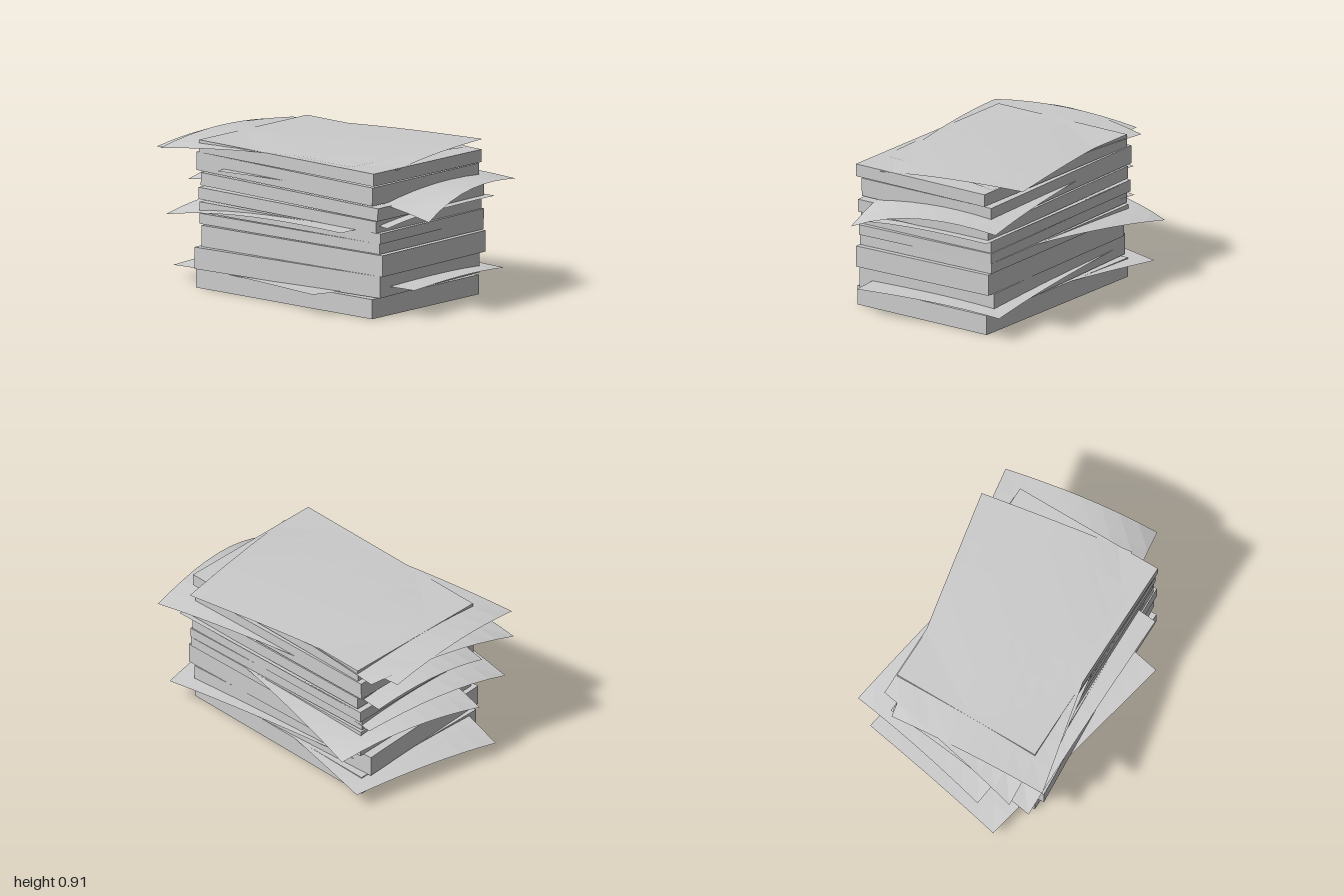
import * as THREE from 'three';

const paper = new THREE.MeshStandardMaterial({ color: 0xcccccc, flatShading: true, side: THREE.DoubleSide });
const DEPTH = 0.97;

// A thick ream, placed by its front edge (x0,z0)-(x1,z1); tilt is the drop to the right
function ream(x0, z0, x1, z1, bottom, top, tilt = 0) {
  const width = Math.hypot(x1 - x0, z1 - z0);
  const turn = Math.atan2(z0 - z1, x1 - x0);
  const mesh = new THREE.Mesh(new THREE.BoxGeometry(width, top - bottom, DEPTH), paper);
  mesh.position.set(
    (x0 + x1) / 2 - Math.sin(turn) * DEPTH / 2,
    (bottom + top) / 2,
    (z0 + z1) / 2 - Math.cos(turn) * DEPTH / 2
  );
  mesh.rotation.set(0, turn, -tilt / width);
  mesh.name = 'ream';
  return mesh;
}

// A loose sheet through four [x, z, droop] corners: front left, front right, back right, back left
function sheet(y, fl, fr, br, bl) {
  const geo = new THREE.PlaneGeometry(1, 1, 10, 8);
  const pos = geo.attributes.position;
  for (let i = 0; i < pos.count; i++) {
    const u = pos.getX(i) + 0.5, v = pos.getY(i) + 0.5;
    const weights = [(1 - u) * (1 - v), u * (1 - v), u * v, (1 - u) * v];
    let x = 0, z = 0, h = y;
    [fl, fr, br, bl].forEach((c, k) => {
      x += c[0] * weights[k];
      z += c[1] * weights[k];
      h -= c[2] * weights[k] ** 3;
    });
    pos.setXYZ(i, x, h, z);
  }
  geo.computeVertexNormals();
  const mesh = new THREE.Mesh(geo, paper);
  mesh.name = 'looseSheet';
  return mesh;
}

export function createModel() {
  const group = new THREE.Group();
  group.name = 'paperStack';

  // Reams from bottom to top
  [
    [-0.69, 0.525, 0.71, 0.46, 0, 0.12],
    [-0.66, 0.57, 0.74, 0.42, 0.125, 0.258],
    [-0.635, 0.535, 0.765, 0.425, 0.26, 0.39],
    [-0.665, 0.52, 0.735, 0.42, 0.393, 0.457],
    [-0.655, 0.53, 0.745, 0.42, 0.462, 0.525, 0.01],
    [-0.685, 0.51, 0.715, 0.43, 0.53, 0.602, 0.02],
    [-0.665, 0.51, 0.735, 0.435, 0.612, 0.69, 0.03],
    [-0.7, 0.51, 0.695, 0.44, 0.7, 0.812, 0.03],
    [-0.675, 0.515, 0.725, 0.46, 0.82, 0.897, 0.015]
  ].forEach((r) => group.add(ream(...r)));

  // Loose sheets from bottom to top
  [
    [0.124, [-0.98, 0.42, 0.044], [0.41, 0.66, -0.012], [0.58, -0.36, 0], [-0.83, -0.57, 0.02]],
    [0.186, [-0.55, 0.52, 0], [0.91, 0.3, 0.006], [0.73, -0.66, 0.036], [-0.74, -0.39, 0]],
    [0.46, [-0.97, 0.3, 0.06], [0.47, 0.45, 0], [0.65, -0.45, 0], [-0.81, -0.67, 0.075]],
    [0.528, [-0.87, 0.6, 0.095], [0.55, 0.56, 0.01], [0.58, -0.46, 0], [-0.8, -0.44, 0.03]],
    [0.605, [-0.68, 0.46, 0], [0.78, 0.4, 0.05], [0.74, -0.57, 0], [-0.7, -0.46, 0]],
    [0.7, [-0.85, 0.43, 0.075], [0.6, 0.44, 0], [0.7, -0.5, 0], [-0.84, -0.4, 0.04]],
    [0.75, [-0.47, 0.57, 0], [1.0, 0.27, 0.145], [0.8, -0.69, 0.05], [-0.67, -0.39, 0]],
    [0.904, [-1.0, 0.55, 0.085], [0.5, 0.42, 0.01], [0.6, -0.5, 0.01], [-0.84, -0.46, 0.03]],
    [0.912, [-0.84, 0.68, 0.057], [0.73, 0.27, 0.03], [0.53, -0.68, 0.008], [-0.94, -0.34, 0.045]]
  ].forEach((s) => group.add(sheet(...s)));

  return group;
}
